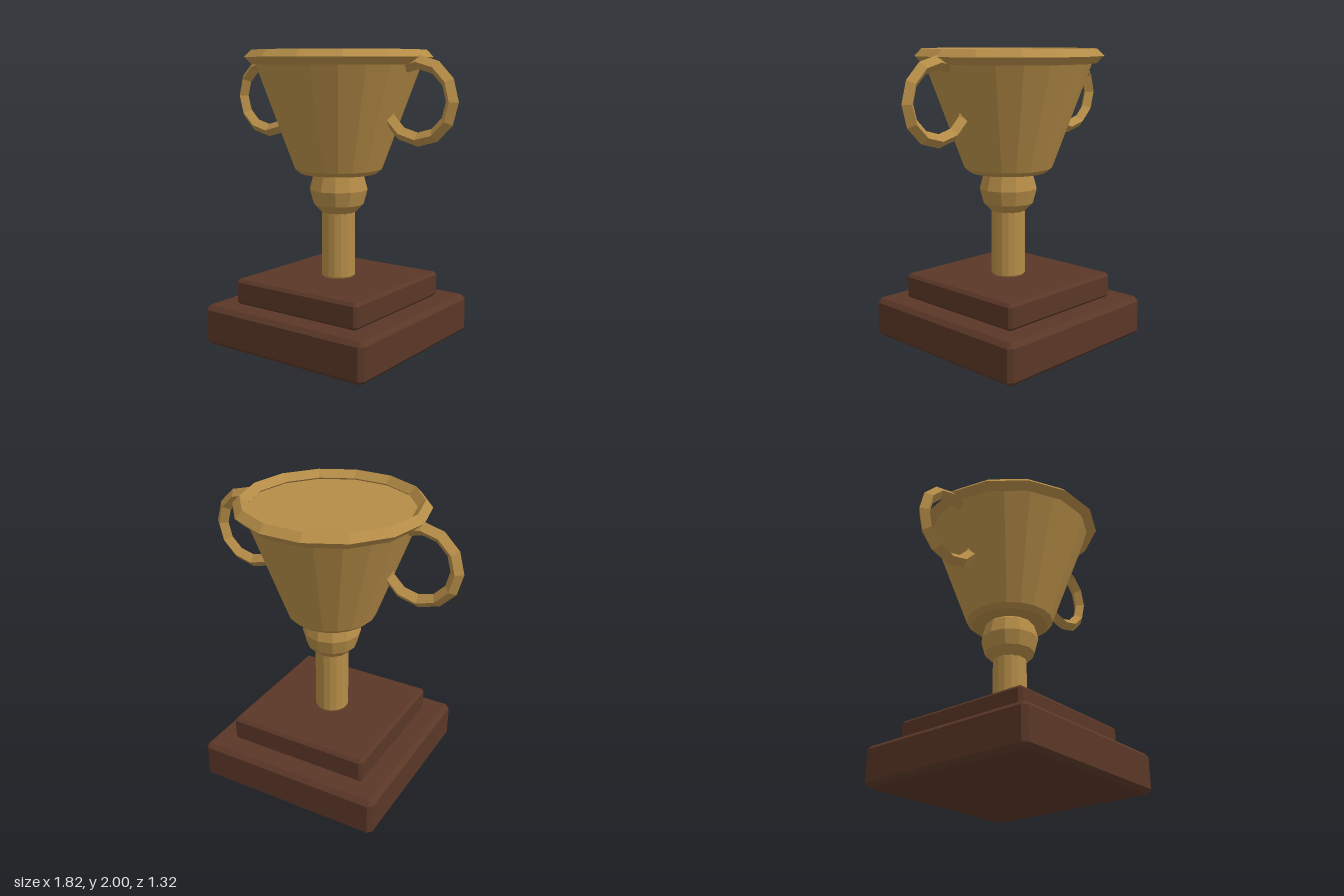
import * as THREE from 'three';
import { ConvexGeometry } from 'three/addons/geometries/ConvexGeometry.js';

const gold = new THREE.MeshStandardMaterial({ color: 0xb58c47, flatShading: true });
gold.name = 'gold';
const wood = new THREE.MeshStandardMaterial({ color: 0x5a3727, flatShading: true });
wood.name = 'dark wood';

// Box with every edge cut by a flat chamfer
function chamferBox(w, h, d, c) {
  const points = [];
  for (const x of [-1, 1]) for (const y of [-1, 1]) for (const z of [-1, 1]) {
    for (let full = 0; full < 3; full++) {
      const size = [w, h, d].map((s, i) => s / 2 - (i === full ? 0 : c));
      points.push(new THREE.Vector3(x * size[0], y * size[1], z * size[2]));
    }
  }
  return new ConvexGeometry(points);
}

// Turned solid from [radius, height] pairs, bottom to top
function turned(profile, sides) {
  return new THREE.LatheGeometry(profile.map(([r, y]) => new THREE.Vector2(r, y)), sides);
}

export function createModel() {
  const group = new THREE.Group();
  group.name = 'trophy';
  const add = (name, geometry, material, x = 0, y = 0) => {
    const mesh = new THREE.Mesh(geometry, material);
    mesh.name = name;
    mesh.position.set(x, y, 0);
    group.add(mesh);
    return mesh;
  };

  // Stepped wooden base
  add('lowerBase', chamferBox(1.32, 0.275, 1.32, 0.03), wood, 0, 0.1375);
  add('upperBase', chamferBox(1.01, 0.175, 1.01, 0.02), wood, 0, 0.3625);

  // Stem and knob
  add('stem', turned([[0, 0.45], [0.107, 0.45], [0.116, 0.462], [0.116, 0.95], [0, 0.95]], 16), gold);
  add('knob', new THREE.SphereGeometry(0.2, 12, 6), gold, 0, 1.06);

  // Closed cup with a chamfered foot
  add('cup', turned([[0, 1.175], [0.265, 1.175], [0.3, 1.205], [0.57, 1.94], [0, 1.94]], 20), gold);

  // Diamond-section rim
  const rim = add('rim', new THREE.TorusGeometry(0.587, 0.048, 4, 14), gold, 0, 1.952);
  rim.rotation.x = Math.PI / 2;

  // Ring handles that run into the cup wall
  for (const side of [-1, 1]) {
    add(side > 0 ? 'leftHandle' : 'rightHandle',
      new THREE.TorusGeometry(0.243, 0.045, 4, 12), gold, side * 0.623, 1.677);
  }
  return group;
}
